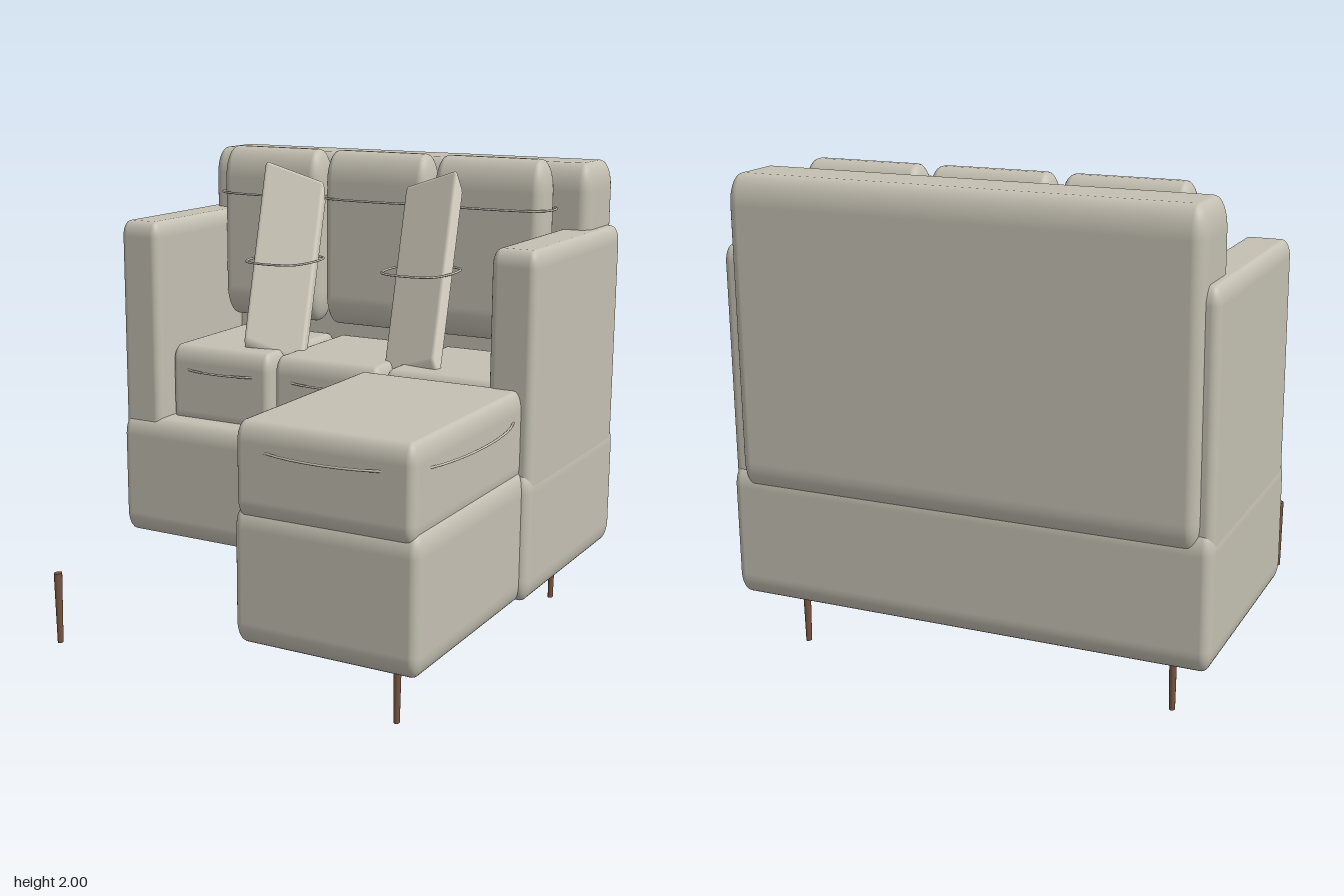
import * as THREE from 'three';
import { RoundedBoxGeometry } from 'three/addons/geometries/RoundedBoxGeometry.js';

const fabric = new THREE.MeshStandardMaterial({ color: 0xc4c0b2 });
const pillowFabric = new THREE.MeshStandardMaterial({ color: 0xe0dacb });
const wood = new THREE.MeshStandardMaterial({ color: 0x76543f });

// Rounded block with a separate corner radius along each axis
function softBox(w, h, d, rx, ry, rz) {
  return new RoundedBoxGeometry(w / rx, h / ry, d / rz, 4, 1).scale(rx, ry, rz);
}

export function createModel() {
  const group = new THREE.Group();

  const add = (name, geometry, material = fabric) => {
    const mesh = new THREE.Mesh(geometry, material);
    mesh.name = name;
    group.add(mesh);
    return mesh;
  };

  // Block given by its limits on x, y and z
  const block = (name, [x0, x1], [y0, y1], [z0, z1], r = [0.04, 0.09, 0.05]) =>
    add(name, softBox(x1 - x0, y1 - y0, z1 - z0, ...r))
      .position.set((x0 + x1) / 2, (y0 + y1) / 2, (z0 + z1) / 2);

  // Thin horizontal seam loop, bulging between four corners
  const seam = (name, x, y, z, a, b) => {
    const corners = [[-a, -b], [a, -b], [a, b], [-a, b]].map(([px, pz]) => new THREE.Vector3(px, 0, pz));
    const path = new THREE.CatmullRomCurve3(corners, true, 'catmullrom', 0.5);
    add(name, new THREE.TubeGeometry(path, 48, 0.005, 6, true)).position.set(x, y, z);
  };

  // Frame
  block('base', [-1, 1], [0.26, 0.81], [-0.98, 0.025]);
  block('chaiseBase', [0.19, 0.97], [0.26, 0.81], [-0.05, 0.95]);
  block('backrest', [-0.95, 0.945], [0.72, 1.98], [-1, -0.69], [0.05, 0.12, 0.06]);
  block('leftArm', [0.8, 0.998], [0.68, 1.7], [-0.96, 0.005], [0.035, 0.07, 0.04]);
  block('rightArm', [-0.998, -0.8], [0.68, 1.7], [-0.96, 0.005], [0.035, 0.07, 0.04]);

  // Seat and back cushions
  for (const x of [-0.54, 0, 0.54]) {
    block('seatCushion', [x - 0.26, x + 0.26], [0.76, 1.14], [-0.71, -0.09], [0.035, 0.08, 0.045]);
    seam('seatSeam', x, 1.03, -0.4, 0.225, 0.27);
    block('backCushion', [x - 0.26, x + 0.26], [1.21, 2], [-0.7, -0.525], [0.05, 0.14, 0.075]);
    seam('backSeam', x, 1.79, -0.612, 0.225, 0.1);
  }

  // Chaise cushion
  block('chaiseCushion', [0.205, 0.95], [0.76, 1.14], [-0.05, 0.955], [0.035, 0.08, 0.045]);
  seam('chaiseSeam', 0.58, 1.03, 0.45, 0.336, 0.435);

  // Throw pillows, leaning back and turned toward the middle
  for (const s of [-1, 1]) {
    const skew = new THREE.Matrix4().makeBasis(
      new THREE.Vector3(0.27, s * 0.09, s * 0.06),
      new THREE.Vector3(0, 0.8, -0.2),
      new THREE.Vector3(-s * 0.015, 0.1, 0.04));
    add('throwPillow', softBox(1, 1, 1, 0.06, 0.03, 0.2).applyMatrix4(skew), pillowFabric)
      .position.set(s * 0.343, 1.475, -0.335);
    seam('pillowSeam', s * 0.338, 1.53, -0.33, 0.118, 0.138);
  }

  // Tapered legs at the four corners
  for (const x of [-0.8, 0.8]) {
    for (const z of [-0.78, 0.768]) {
      add('leg', new THREE.CylinderGeometry(0.016, 0.011, 0.31, 12).scale(1, 1, 1.3), wood)
        .position.set(x, 0.155, z);
    }
  }

  return group;
}
